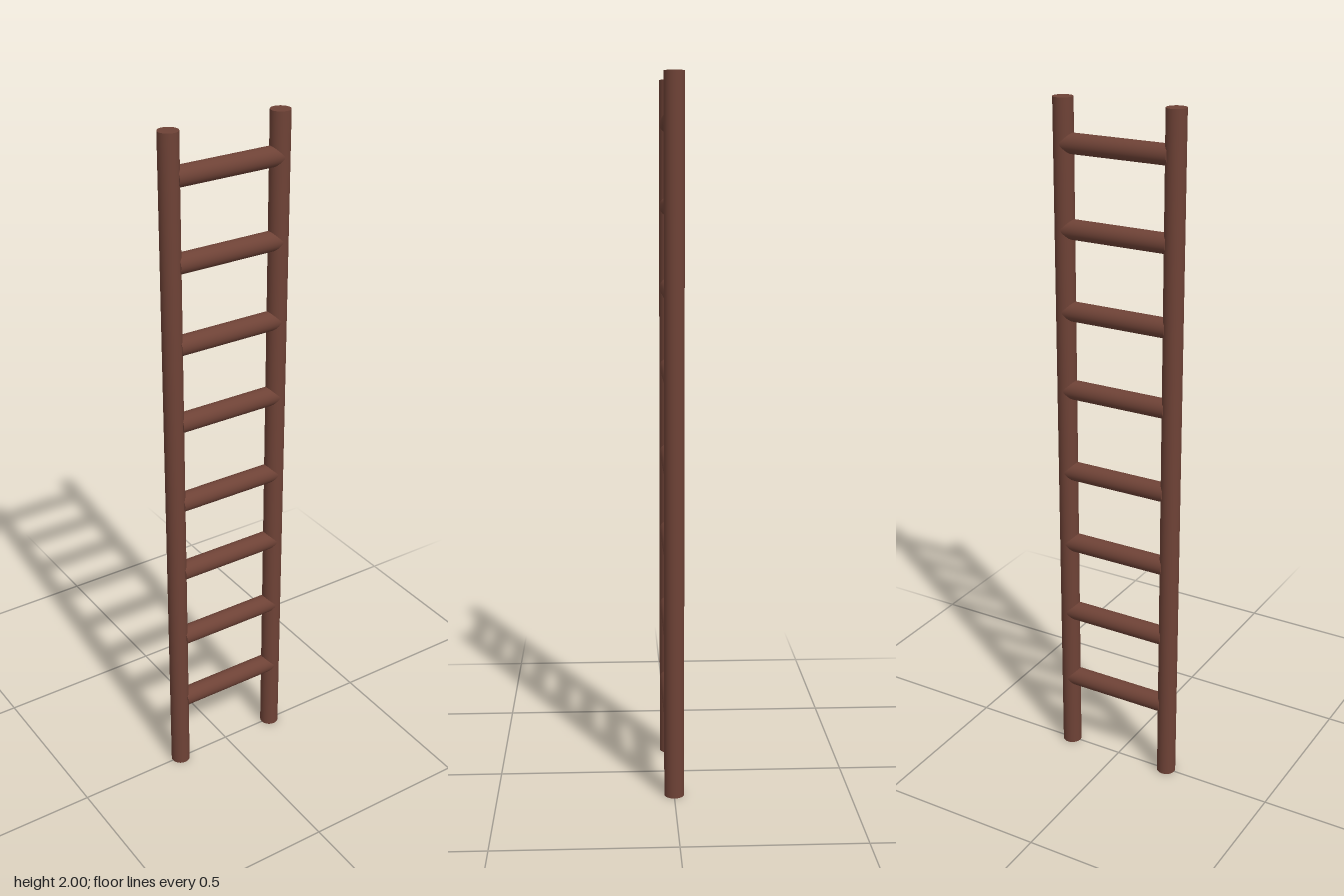
import * as THREE from 'three';

export function createModel() {
  const model = new THREE.Group();
  model.name = 'ladder';

  const wood = new THREE.MeshStandardMaterial({ color: 0x6e4236 });
  wood.name = 'brown wood';

  const radius = 0.028;
  const railX = 0.168;

  // Two upright poles
  const railGeometry = new THREE.CylinderGeometry(radius, radius, 2, 32);
  for (const side of [1, -1]) {
    const rail = new THREE.Mesh(railGeometry, wood);
    rail.name = side > 0 ? 'leftRail' : 'rightRail';
    rail.position.set(side * railX, 1, 0);
    model.add(rail);
  }

  // Rungs, in two evenly spaced sets of four, ending inside the poles
  const rungStart = -0.153;
  const rungEnd = 0.165;
  const rungGeometry = new THREE.CylinderGeometry(radius, radius, rungEnd - rungStart, 32);
  rungGeometry.rotateZ(Math.PI / 2);
  for (const base of [0.234, 1.183]) {
    for (let i = 0; i < 4; i++) {
      const rung = new THREE.Mesh(rungGeometry, wood);
      rung.name = 'rung';
      rung.position.set((rungStart + rungEnd) / 2, base + i * 0.232, 0);
      model.add(rung);
    }
  }

  return model;
}
